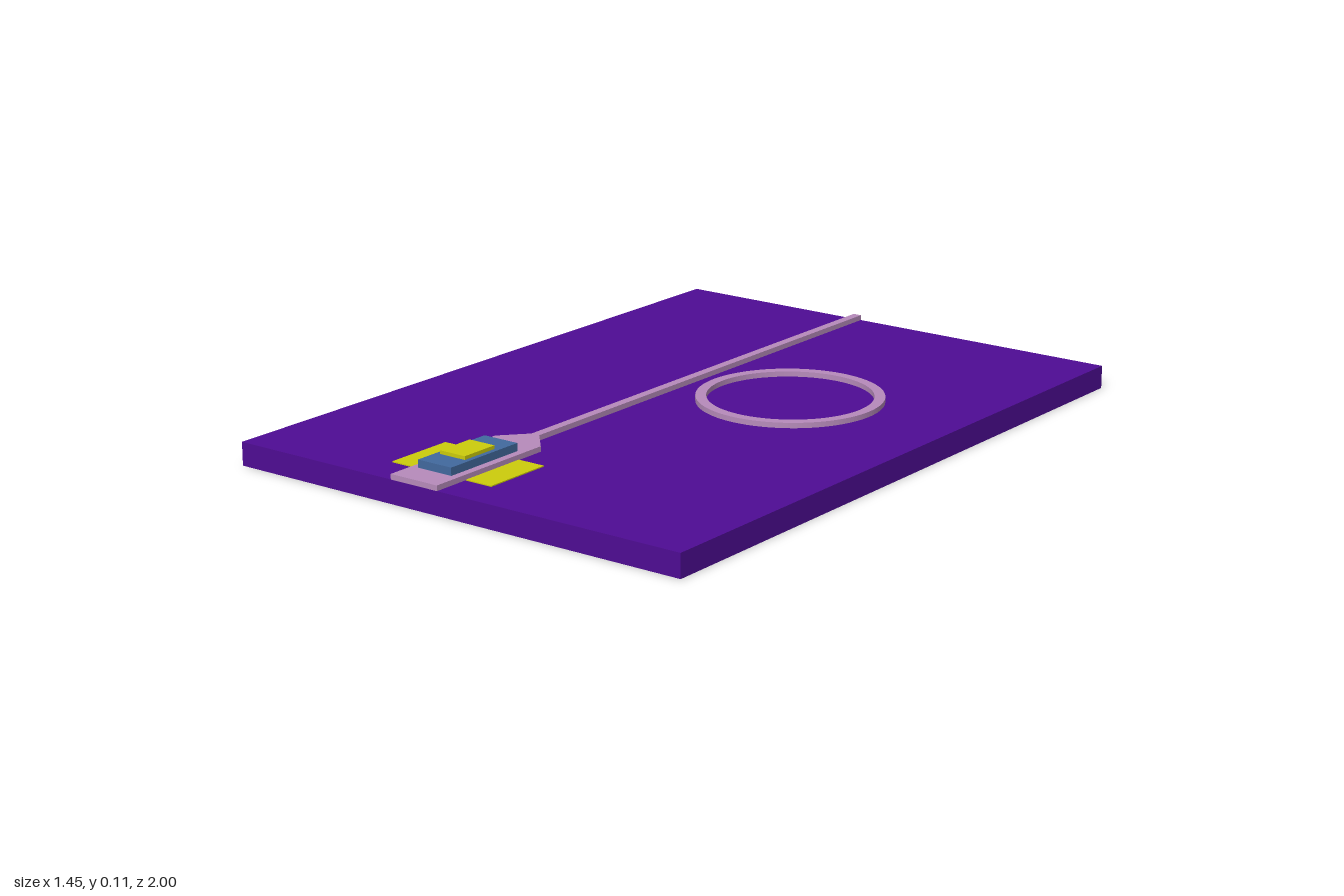
import * as THREE from 'three';

export function createModel() {
  const model = new THREE.Group();
  model.name = 'photonicChip';

  const material = (name, color) => {
    const m = new THREE.MeshStandardMaterial({ color });
    m.name = name;
    return m;
  };
  const indigo = material('indigo substrate', 0x4e0c94);
  const mauve = material('mauve waveguide', 0xb78bbb);
  const blue = material('blue layer', 0x42699e);
  const yellow = material('yellow metal', 0xcccc0c);

  const add = (name, geometry, mat) => {
    const mesh = new THREE.Mesh(geometry, mat);
    mesh.name = name;
    model.add(mesh);
    return mesh;
  };

  // Box given by its extents on each axis
  const box = (name, mat, [x0, x1], [y0, y1], [z0, z1]) =>
    add(name, new THREE.BoxGeometry(x1 - x0, y1 - y0, z1 - z0), mat)
      .position.set((x0 + x1) / 2, (y0 + y1) / 2, (z0 + z1) / 2);

  // Plan outline (x, -z) raised from the substrate
  const base = 0.066, guideTop = 0.081;
  const slab = (name, shape) => {
    const g = new THREE.ExtrudeGeometry(shape, {
      depth: guideTop - base, bevelEnabled: false, curveSegments: 64,
    });
    g.rotateX(-Math.PI / 2).translate(0, base, 0);
    return add(name, g, mauve);
  };

  box('substrate', indigo, [-0.726, 0.726], [0, base], [-1, 1]);

  // Straight guide widening through a taper into the laser ridge
  const cx = -0.119, narrow = 0.013, wide = 0.078;
  const outline = [[narrow, -1], [narrow, 0.52], [wide, 0.592], [wide, 1]];
  const right = outline.map(([w, z]) => new THREE.Vector2(cx + w, -z));
  const left = outline.map(([w, z]) => new THREE.Vector2(cx - w, -z)).reverse();
  slab('taperedWaveguide', new THREE.Shape([...right, ...left]));

  // Ring resonator
  const ring = new THREE.Shape().absarc(0.209, 0.183, 0.262, 0, Math.PI * 2);
  ring.holes.push(new THREE.Path().absarc(0.209, 0.183, 0.232, 0, Math.PI * 2, true));
  slab('ringResonator', ring);

  // Stacked gain layer and top contact
  box('gainLayer', blue, [cx - 0.056, cx + 0.056], [guideTop, 0.103], [0.66, 0.92]);
  box('topContact', yellow, [cx - 0.042, cx + 0.042], [0.103, 0.113], [0.735, 0.851]);

  // Thin side contacts
  for (const [name, side] of [['leftContact', 1], ['rightContact', -1]]) {
    const x = cx - 0.003 + side * 0.126;
    box(name, yellow, [x - 0.042, x + 0.042], [base, base + 0.003], [0.685, 0.892]);
  }

  return model;
}
